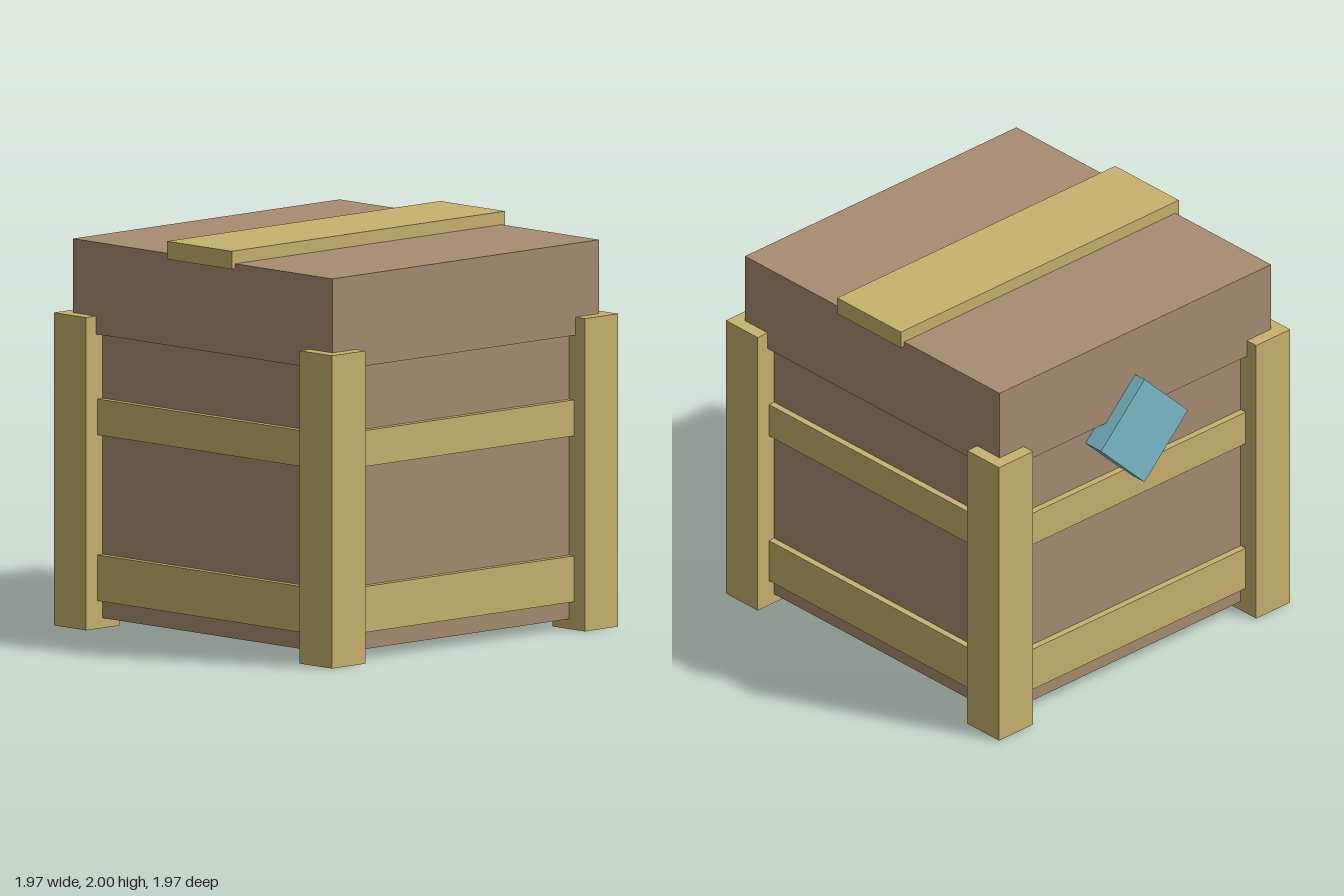
import * as THREE from 'three';

function material(name, color) {
  const m = new THREE.MeshStandardMaterial({ color });
  m.name = name;
  return m;
}

export function createModel() {
  const brown = material('brown wood', 0xa88c70);
  const tan = material('tan wood', 0xc8b26e);
  const blue = material('blue metal', 0x7abcc9);
  const crate = new THREE.Group();
  crate.name = 'crate';

  // Box given by its size, bottom height and horizontal centre
  function addBox(parent, name, mat, w, h, d, x, bottom, z) {
    const mesh = new THREE.Mesh(new THREE.BoxGeometry(w, h, d), mat);
    mesh.name = name;
    mesh.position.set(x, bottom + h / 2, z);
    parent.add(mesh);
    return mesh;
  }

  // Body, wider lid and the strap across the lid
  addBox(crate, 'body', brown, 1.75, 1.425, 1.75, 0, 0.05, 0);
  addBox(crate, 'lid', brown, 1.84, 0.46, 1.84, 0, 1.475, 0);
  addBox(crate, 'lidStrap', tan, 1.885, 0.09, 0.46, 0, 1.91, 0);

  // Square corner posts
  for (const x of [-1, 1]) {
    for (const z of [-1, 1]) {
      addBox(crate, 'cornerPost', tan, 0.23, 1.565, 0.23, x * 0.872, 0, z * 0.872);
    }
  }

  // Two rails on each of the four sides
  for (let i = 0; i < 4; i++) {
    const side = new THREE.Group();
    side.name = 'sideRails';
    side.rotation.y = i * Math.PI / 2;
    addBox(side, 'lowerRail', tan, 1.53, 0.23, 0.06, 0, 0.14, 0.88);
    addBox(side, 'upperRail', tan, 1.53, 0.18, 0.06, 0, 0.97, 0.88);
    crate.add(side);
  }

  // Diamond-shaped latch over the lid seam at the back
  const latch = addBox(crate, 'latch', blue, 0.417, 0.417, 0.125, 0, 1.1715, -0.924);
  latch.rotation.z = Math.PI / 4;

  return crate;
}
